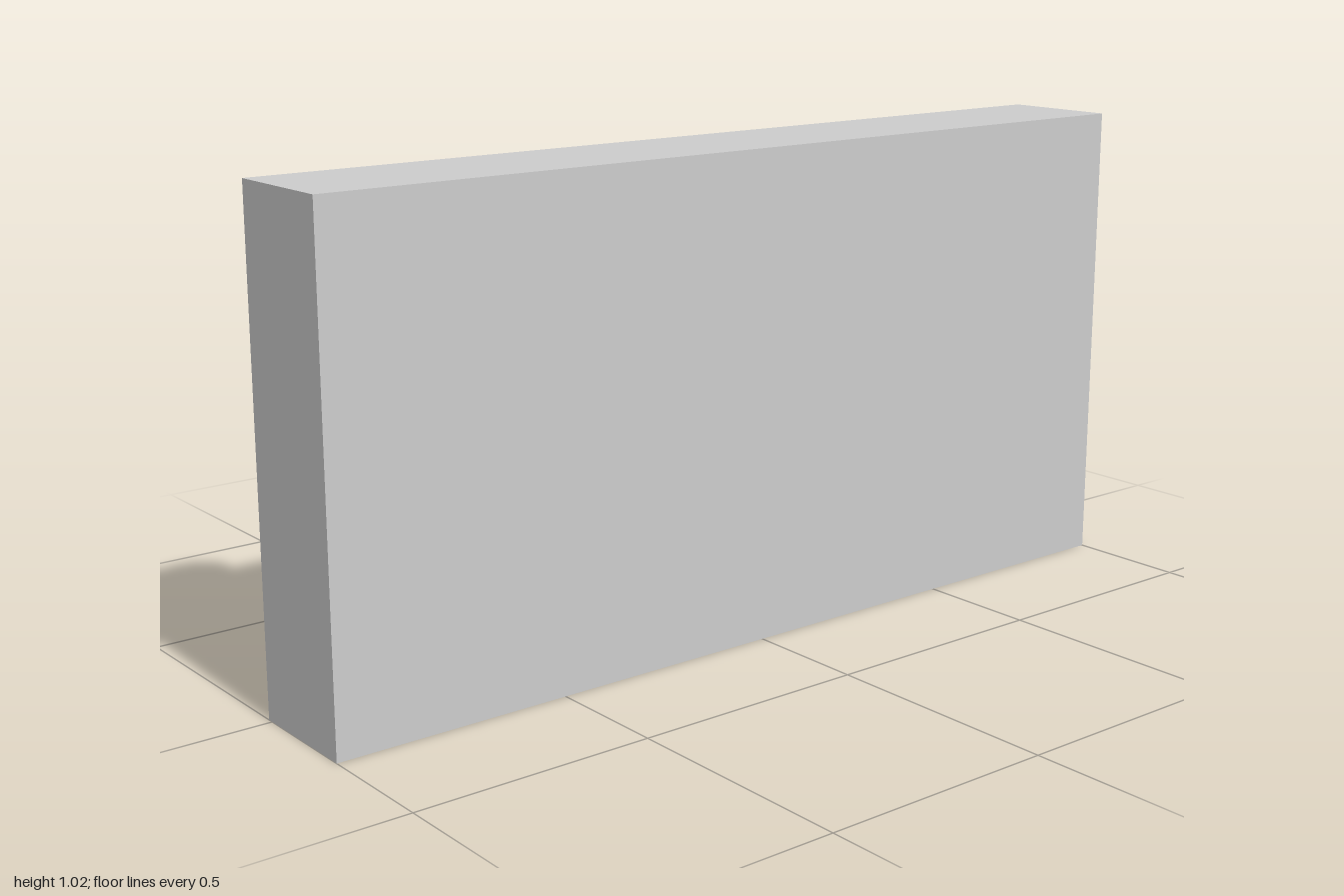
import * as THREE from 'three';

export function createModel() {
  const model = new THREE.Group();
  model.name = 'pegPlate';
  const grey = new THREE.MeshStandardMaterial({ color: 0xcccccc });
  grey.name = 'light grey';

  const add = (parent, geometry, name, x, y, z) => {
    const mesh = new THREE.Mesh(geometry, grey);
    mesh.name = name;
    mesh.position.set(x, y, z);
    parent.add(mesh);
    return mesh;
  };

  // Upright rectangular plate
  add(model, new THREE.BoxGeometry(0.254, 1.02, 2), 'plate', 0.115, 0.51, 0);

  // Four round pegs on the -x face, each with three crush ribs 120 degrees apart
  const pegGeometry = new THREE.CylinderGeometry(0.095, 0.095, 0.231, 48).rotateZ(Math.PI / 2);
  const ribGeometry = new THREE.BoxGeometry(0.183, 0.03, 0.033).translate(0, 0.09, 0);
  for (const z of [-0.766, 0.766]) {
    for (const y of [0.257, 0.766]) {
      const peg = new THREE.Group();
      peg.name = 'peg';
      peg.position.set(-0.1275, y, z);
      add(peg, pegGeometry, 'pegBody', 0, 0, 0);
      for (let i = 0; i < 3; i++) {
        add(peg, ribGeometry, 'rib', 0, 0, 0).rotation.x = i * Math.PI * 2 / 3;
      }
      model.add(peg);
    }
  }
  return model;
}
